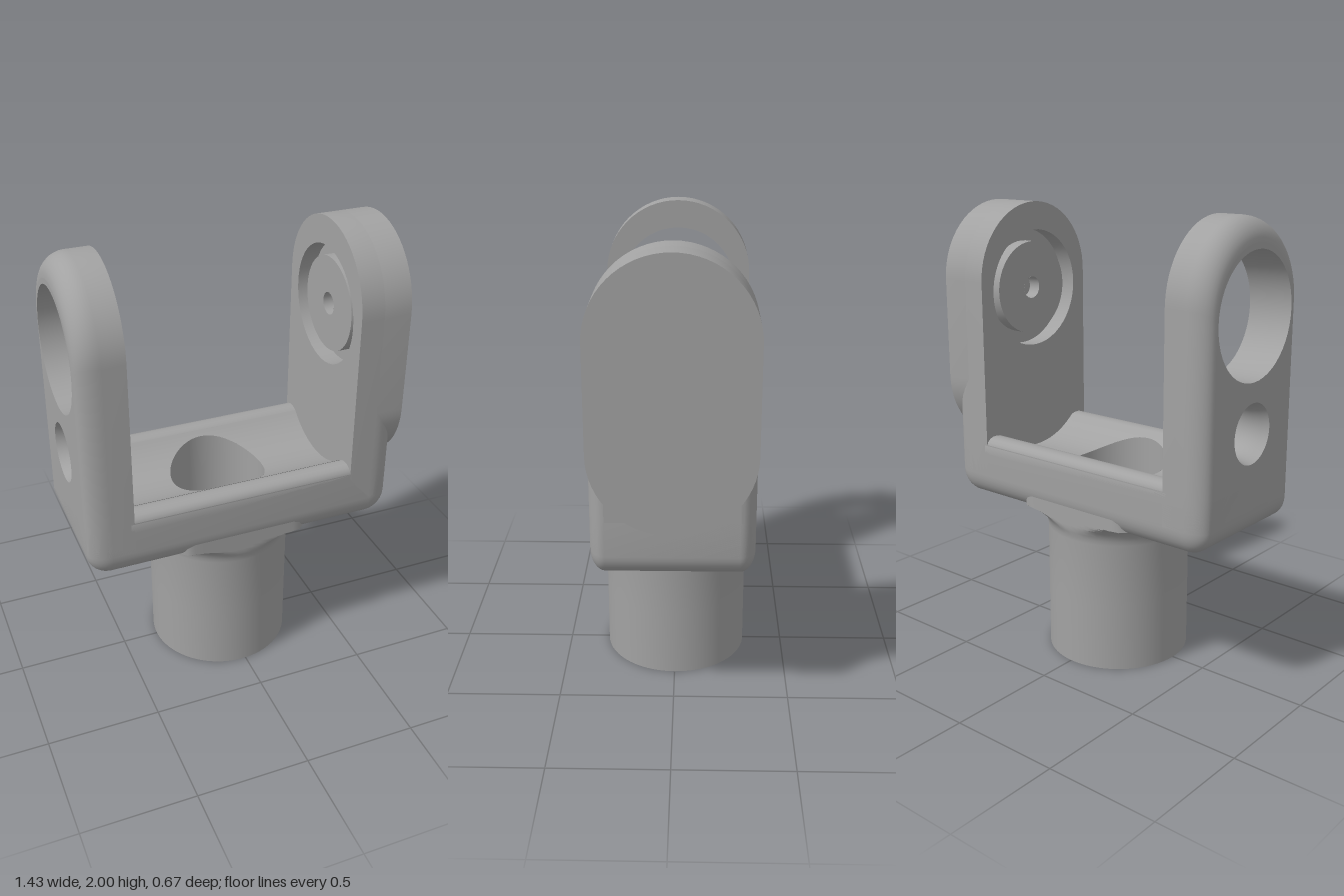
import * as THREE from 'three';
import { toCreasedNormals } from 'three/addons/utils/BufferGeometryUtils.js';

const HALF = 0.335;            // half depth of the yoke
const LEFT = -0.715, RIGHT = 0.69;
const ARM_L = -0.515, ARM_R = 0.485; // inner faces of the arms
const AXIS = -0.015, BORE = 0.215;   // post centre and bore radius
const RX = 0.1, RZ = 0.065;    // fillet sizes
const EYE_Y = 1.61, EYE_R = 0.265, SMALL_Y = 1.13, SMALL_R = 0.13;

const V = (x, y, z) => new THREE.Vector3(x, y, z);
const troughY = (z) => 0.86 + 0.36 - Math.sqrt(0.36 * 0.36 - z * z);

// Skin between rings of equal point count
function loft(rings) {
  const n = rings[0].length, index = [];
  for (let r = 0; r < rings.length - 1; r++)
    for (let i = 0; i < n - 1; i++) {
      const a = r * n + i, b = a + n;
      index.push(a, b, a + 1, b, b + 1, a + 1);
    }
  const g = new THREE.BufferGeometry().setFromPoints(rings.flat());
  g.setIndex(index);
  return g;
}

// Circle in the plane x = const
function circleX(x, y, r, n = 48) {
  return Array.from({ length: n + 1 }, (_, i) => {
    const a = (i / n) * Math.PI * 2;
    return V(x, y + r * Math.sin(a), r * Math.cos(a));
  });
}

// Arched outline as (z, y); a round foot gives a stadium
function arch(R, cy, foot, round = false) {
  const pts = [], n = 32;
  for (let i = 0; i <= n; i++) {
    const a = (i / n) * Math.PI;
    pts.push(new THREE.Vector2(R * Math.cos(a), cy + R * Math.sin(a)));
  }
  if (!round) return [new THREE.Vector2(R, foot), ...pts, new THREE.Vector2(-R, foot)];
  for (let i = 0; i <= n; i++) {
    const a = Math.PI + (i / n) * Math.PI;
    pts.push(new THREE.Vector2(R * Math.cos(a), foot + R + R * Math.sin(a)));
  }
  return pts;
}

// Flat face in the plane x = const with round holes [y, r]
function plate(points, holes, x, dir) {
  const s = new THREE.Shape(points);
  for (const [y, r] of holes) s.holes.push(new THREE.Path().absarc(0, y, r, 0, Math.PI * 2, true));
  return new THREE.ShapeGeometry(s, 24).rotateY(dir * Math.PI / 2).translate(x, 0, 0);
}

const disc = (r) => arch(r, EYE_Y, EYE_Y - r, true);

// Arm edge: straight from the inner face, then filleted to the outer face
function armEdge(inner, outer, dir) {
  const at = (x, k) => arch(HALF - RZ * k, 1.665 - 0.035 * k, 0.78).map((p) => V(x, p.y, p.x));
  const rings = [at(inner, 0)];
  for (let j = 0; j <= 8; j++) {
    const a = (j / 8) * Math.PI / 2;
    rings.push(at(outer - dir * RX * (1 - Math.sin(a)), 1 - Math.cos(a)));
  }
  return loft(dir > 0 ? rings : rings.reverse());
}

// Rounded outline of the base, shrunk by k (0 to 1) of the fillet
function baseRing(y, k) {
  const pts = [];
  for (let q = 0; q < 4; q++)
    for (let i = 0; i <= 8; i++) {
      const a = (q + i / 8) * Math.PI / 2;
      const cx = q === 0 || q === 3 ? RIGHT - RX : LEFT + RX;
      const cz = q < 2 ? HALF - RZ : -HALF + RZ;
      pts.push(V(cx + RX * (1 - k) * Math.cos(a), y, cz + RZ * (1 - k) * Math.sin(a)));
    }
  pts.push(pts[0].clone());
  return pts;
}

export function createModel() {
  const model = new THREE.Group();
  const grey = new THREE.MeshStandardMaterial({ color: 0xa2a2a2, side: THREE.DoubleSide });
  grey.name = 'plain grey';
  const add = (name, geometry, parent = model) => {
    const mesh = new THREE.Mesh(toCreasedNormals(geometry, 0.6), grey);
    mesh.name = name;
    parent.add(mesh);
  };
  const group = (name) => {
    const g = new THREE.Group();
    g.name = name;
    model.add(g);
    return g;
  };

  // Post: lathed sleeve with a flare kept within the base depth
  const profile = [[BORE, 0], [0.32, 0], [0.32, 0.3]];
  for (let i = 0; i <= 8; i++) {
    const a = (i / 8) * Math.PI / 2;
    profile.push([0.42 - 0.1 * Math.cos(a), 0.59 + 0.1 * Math.sin(a)]);
  }
  profile.push([0.42, 0.78]);
  const post = new THREE.LatheGeometry(profile.map((p) => new THREE.Vector2(...p)), 64);
  const pos = post.attributes.position;
  for (let i = 0; i < pos.count; i++) pos.setZ(i, THREE.MathUtils.clamp(pos.getZ(i), -0.33, 0.33));
  add('post', post.translate(AXIS, 0, 0));

  // Bore wall, ending on the trough surface
  const boreRing = (top) => Array.from({ length: 65 }, (_, i) => {
    const a = (i / 64) * Math.PI * 2, z = BORE * Math.sin(a);
    return V(AXIS + BORE * Math.cos(a), top ? troughY(z) : 0, z);
  });
  add('postBore', loft([boreRing(true), boreRing(false)].reverse()));

  // Base: side walls with filleted lower edge, and underside
  const base = group('base');
  const rings = [baseRing(0.93, 0)];
  for (let j = 0; j <= 8; j++) {
    const a = (j / 8) * Math.PI / 2;
    rings.push(baseRing(0.78 - RX * Math.sin(a), 1 - Math.cos(a)));
  }
  add('baseWalls', loft(rings.reverse()), base);
  const x0 = LEFT + RX, x1 = RIGHT - RX, zc = HALF - RZ;
  const under = new THREE.Shape([[x0, -zc], [x1, -zc], [x1, zc], [x0, zc]].map((p) => new THREE.Vector2(...p)));
  under.holes.push(new THREE.Path().absarc(AXIS, 0, 0.25, 0, Math.PI * 2, true));
  add('baseUnderside', new THREE.ShapeGeometry(under, 24).rotateX(Math.PI / 2).translate(0, 0.68, 0), base);

  // Trough: curved floor spreading from the bore to a rectangle
  const tx0 = ARM_L - 0.015, tx1 = ARM_R + 0.015, tz = 0.24;
  const corners = [[tx1, -tz], [tx1, tz], [tx0, tz], [tx0, -tz]];
  const edge = [];
  corners.forEach(([ax, az], c) => {
    const [bx, bz] = corners[(c + 1) % 4];
    for (let i = 0; i < 40; i++) edge.push([ax + (bx - ax) * i / 40, az + (bz - az) * i / 40]);
  });
  edge.push(edge[0]);
  const floor = [];
  for (let j = 0; j <= 8; j++)
    floor.push(edge.map(([x, z]) => {
      const d = Math.hypot(x - AXIS, z), s = THREE.MathUtils.lerp(BORE / d, 1, j / 8);
      return V(AXIS + (x - AXIS) * s, troughY(z * s), z * s);
    }));
  add('trough', loft(floor.reverse()), base);

  // Rounded lips on both sides of the trough
  for (const side of [1, -1]) {
    const lip = new THREE.Shape([[0.24, 0.88], [HALF, 0.88], [HALF, 0.925], [0.328, 0.942], [0.315, 0.954],
      [0.295, 0.961], [0.27, 0.961], [0.25, 0.957], [0.24, 0.95]].map(([z, y]) => new THREE.Vector2(side * z, y)));
    add('troughLip', new THREE.ExtrudeGeometry(lip, { depth: tx1 - tx0, bevelEnabled: false })
      .rotateY(Math.PI / 2).translate(tx0, 0, 0), base);
  }

  // Open arm: large eye and a waisted smaller hole
  const open = group('eyeArm');
  const holes = [[EYE_Y, EYE_R], [SMALL_Y, SMALL_R]];
  add('armEdge', armEdge(ARM_L, LEFT, -1), open);
  add('armInnerFace', plate(arch(HALF, 1.665, 0.78), holes, ARM_L, 1), open);
  add('armOuterFace', plate(arch(HALF - RZ, 1.63, 0.78), holes, LEFT, -1), open);
  add('eyeWall', loft([circleX(LEFT, EYE_Y, EYE_R), circleX(ARM_L, EYE_Y, EYE_R)]), open);
  add('smallHoleWall', loft([0, 1, 2, 3, 4, 5, 6].map((i) =>
    circleX(LEFT + (ARM_L - LEFT) * i / 6, SMALL_Y, SMALL_R - 0.02 * Math.sin(i / 6 * Math.PI)))), open);

  // Closed arm: recessed seat inside, stadium pad outside
  const shut = group('padArm');
  const seat = 0.565, boss = 0.505;
  add('armEdge', armEdge(ARM_R, RIGHT, 1), shut);
  add('armInnerFace', plate(arch(HALF, 1.665, 0.78), [[EYE_Y, EYE_R]], ARM_R, -1), shut);
  add('armOuterFace', plate(arch(HALF - RZ, 1.63, 0.78), [], RIGHT, 1), shut);
  add('recessWall', loft([circleX(ARM_R, EYE_Y, EYE_R), circleX(seat, EYE_Y, EYE_R)]), shut);
  add('recessFloor', plate(disc(EYE_R), [], seat, -1), shut);
  add('bossFace', plate(disc(0.21), [[EYE_Y, 0.05]], boss, -1), shut);
  add('bossWall', loft([circleX(seat, EYE_Y, 0.21), circleX(boss, EYE_Y, 0.21)]), shut);
  add('bossPinHole', loft([circleX(boss, EYE_Y, 0.05, 24), circleX(seat, EYE_Y, 0.05, 24)]), shut);
  const pad = new THREE.Shape(arch(HALF, 1.665, 0.885, true));
  add('outerPad', new THREE.ExtrudeGeometry(pad, { depth: 0.125, bevelEnabled: false })
    .rotateY(Math.PI / 2).translate(0.59, 0, 0), shut);

  return model;
}
